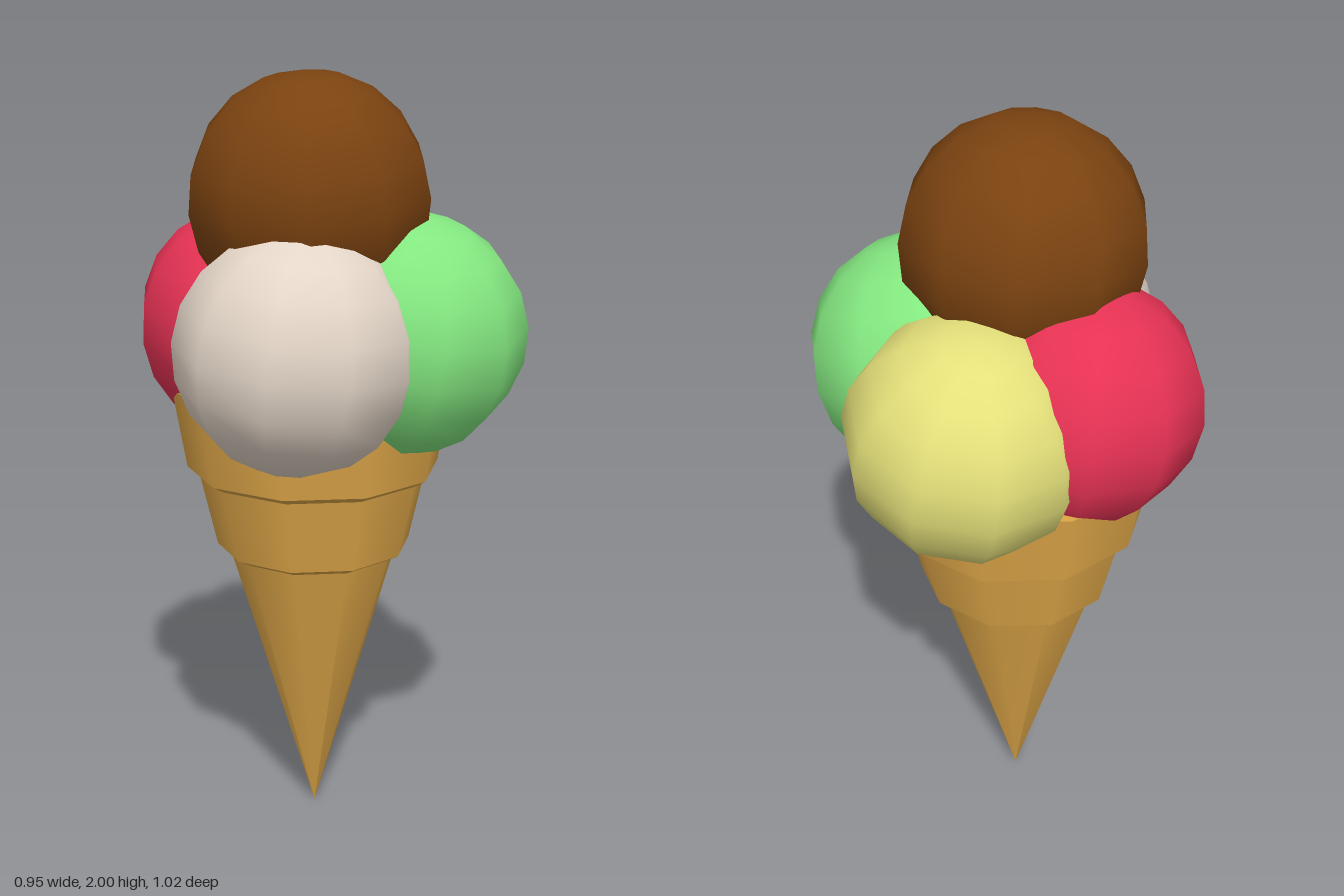
import * as THREE from 'three';

const material = (name, color, side = THREE.FrontSide) => {
  const m = new THREE.MeshStandardMaterial({ color, side });
  m.name = name;
  return m;
};

export function createModel() {
  const model = new THREE.Group();
  model.name = 'iceCreamCone';

  // Ten-sided wafer cone; each profile section is its own lathe so the ledges stay crisp
  const wafer = material('wafer', 0xdfa748, THREE.DoubleSide);
  const profile = [
    [0, 0], [0.222, 0.757], [0.255, 0.775],
    [0.3, 0.972], [0.33, 0.99], [0.365, 1.2], [0, 1.2],
  ];
  const names = ['coneTip', 'lowerLedge', 'middleBand', 'upperLedge', 'upperBand', 'coneTop'];
  const cone = new THREE.Group();
  cone.name = 'cone';
  cone.position.set(-0.04, 0, -0.045);
  names.forEach((name, i) => {
    const points = [profile[i], profile[i + 1]].map(([r, y]) => new THREE.Vector2(r, y));
    const section = new THREE.Mesh(new THREE.LatheGeometry(points, 10, Math.PI / 2), wafer);
    section.name = name;
    cone.add(section);
  });
  model.add(cone);

  // Scoops: name, colour, centre, radius, turn and slight tilt
  const scoops = [
    ['chocolateScoop', 0x7a4210, [-0.055, 1.697, 0.053], 0.305, [0.1, 0.23, 0.08]],
    ['vanillaScoop', 0xe4d6c8, [-0.1, 1.35, 0.222], 0.303, [0.08, 0, -0.1]],
    ['mintScoop', 0x84e880, [0.18, 1.362, 0.095], 0.304, [0.2, -0.2, -0.2]],
    ['lemonScoop', 0xe4e07a, [0.085, 1.325, -0.215], 0.306, [-0.2, -0.14, 0.1]],
    ['strawberryScoop', 0xe63254, [-0.185, 1.36, -0.125], 0.304, [0.08, 0.31, 0.1]],
  ];
  for (const [name, color, position, radius, rotation] of scoops) {
    const scoop = new THREE.Mesh(
      new THREE.SphereGeometry(radius, 10, 10),
      material(name.replace('Scoop', ''), color),
    );
    scoop.name = name;
    scoop.position.set(...position);
    scoop.rotation.set(...rotation);
    model.add(scoop);
  }
  return model;
}
